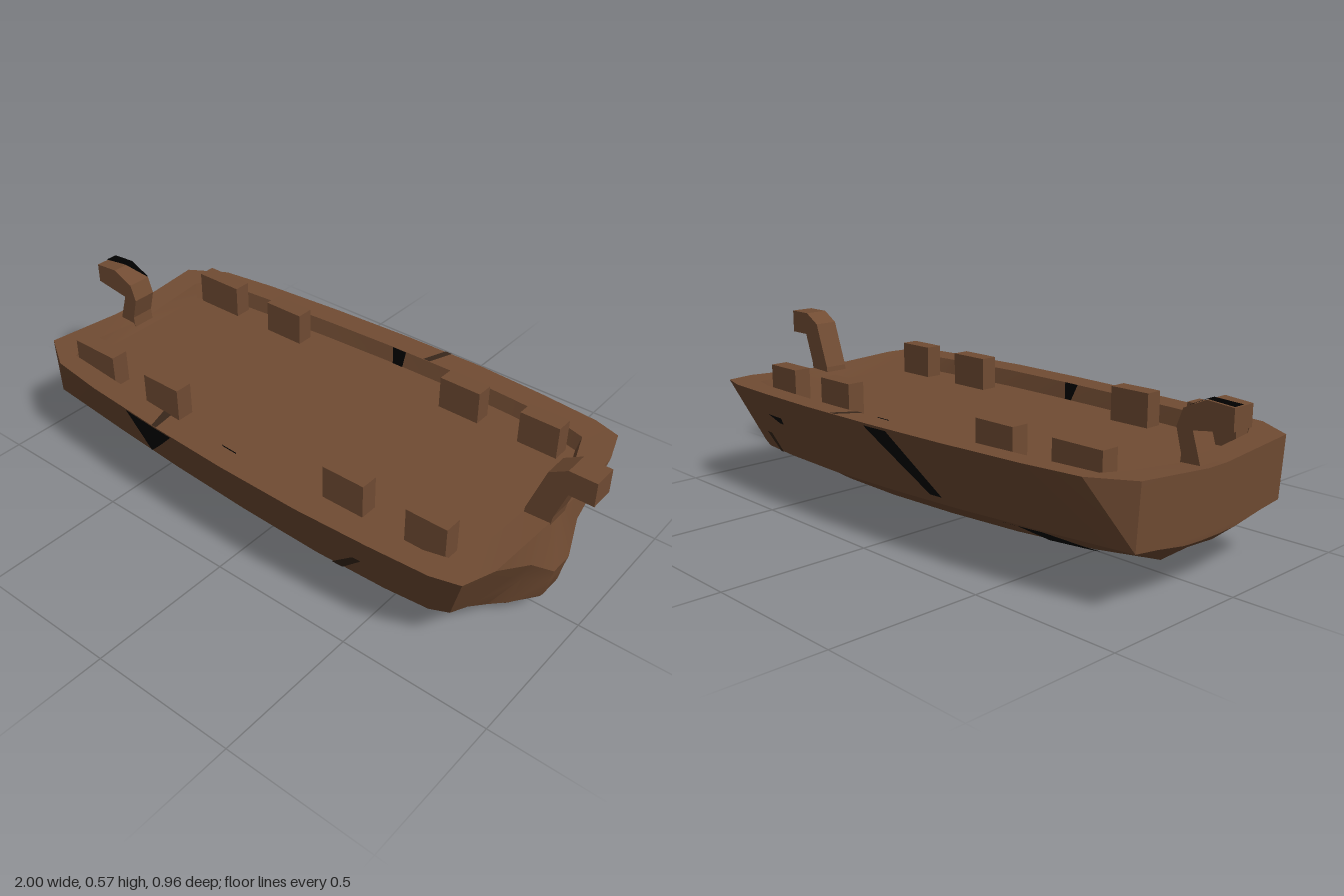
import * as THREE from 'three';
import { toCreasedNormals } from 'three/addons/utils/BufferGeometryUtils.js';

const wood = new THREE.MeshStandardMaterial({ color: 0x714c33 });
wood.name = 'brown wood';
const tar = new THREE.MeshStandardMaterial({ color: 0x000000, side: THREE.DoubleSide });
tar.name = 'black tar';
const stain = new THREE.MeshStandardMaterial({ color: 0x38271b, side: THREE.DoubleSide });
stain.name = 'dark brown stain';

// Rails of the half hull [x, y, z], one point per station, from the blunt end to the stem
const rim = [
  [-0.93, 0.365, 0], [-0.93, 0.365, 0.042], [-0.93, 0.39, 0.33], [-0.8, 0.39, 0.41], [-0.6, 0.39, 0.437],
  [-0.3, 0.39, 0.46], [0, 0.39, 0.475], [0.3, 0.39, 0.48], [0.55, 0.388, 0.47], [0.75, 0.386, 0.456],
  [0.84, 0.385, 0.43], [0.875, 0.38, 0.32], [0.878, 0.366, 0.042], [0.878, 0.366, 0],
];
const chine = [
  [-0.918, 0.18, 0], [-0.918, 0.18, 0.042], [-0.918, 0.19, 0.33], [-0.918, 0.19, 0.33], [-0.6, 0.178, 0.35],
  [-0.3, 0.167, 0.365], [0, 0.16, 0.376], [0.3, 0.156, 0.381], [0.55, 0.158, 0.376], [0.7, 0.161, 0.365],
  [0.76, 0.168, 0.345], [0.883, 0.27, 0.13], [0.915, 0.2, 0.042], [0.915, 0.2, 0],
];
const keel = [
  [-0.916, 0.155, 0], [-0.916, 0.155, 0.042], [-0.916, 0.155, 0.042], [-0.81, 0.085, 0.042], [-0.6, 0.05, 0.042],
  [-0.3, 0.024, 0.042], [0, 0.009, 0.042], [0.3, 0.001, 0.042], [0.55, 0.004, 0.042], [0.7, 0.016, 0.042],
  [0.76, 0.021, 0.055], [0.79, 0.025, 0.085], [0.882, 0.08, 0.042], [0.882, 0.08, 0],
];

const between = (t, ty) => keel.map(([x, y, z], i) => {
  const c = chine[i];
  return [x + (c[0] - x) * t, y + (c[1] - y) * ty, z + (c[2] - z) * t];
});
const onCentre = (rail) => rail.map(([x, y]) => [x, y, 0]);
const garboard = between(0.27, 0.12);
const bilge = between(0.67, 0.66);
// The inner rim keeps tight corners at the blunt end
const innerRim = rim.map(([x, y, z], i) => [x * (i === 3 ? 1 : 0.9), y - 0.004, z * 0.83]);
const deckEdge = innerRim.map(([x, , z]) => [x * 0.985, 0.33, z * 0.97]);

// Skin neighbouring rails with triangles, and mirror them to the other side
function skin(rails, name) {
  const pos = [];
  const triangle = (a, b, c) => {
    const [A, B, C] = [a, b, c].map((p) => new THREE.Vector3(...p));
    if (new THREE.Triangle(A, B, C).getArea() < 1e-7) return;
    pos.push(...a, ...b, ...c);
    for (const [x, y, z] of [a, c, b]) pos.push(x, y, -z);
  };
  for (let r = 0; r < rails.length - 1; r++) {
    for (let s = 0; s < rim.length - 1; s++) {
      const a = rails[r][s], b = rails[r][s + 1], c = rails[r + 1][s + 1], d = rails[r + 1][s];
      triangle(a, b, c);
      triangle(a, c, d);
    }
  }
  const geometry = new THREE.BufferGeometry();
  geometry.setAttribute('position', new THREE.Float32BufferAttribute(pos, 3));
  const mesh = new THREE.Mesh(toCreasedNormals(geometry, 0.45), wood);
  mesh.name = name;
  return mesh;
}

// Point on the skin between two rails at a given x, t from the first rail to the second
function onSkin(railA, railB, x, t) {
  const [a, b] = [railA, railB].map((rail) => {
    const s = Math.max(1, rail.findIndex((p) => p[0] >= x));
    const p = new THREE.Vector3(...rail[s - 1]), q = new THREE.Vector3(...rail[s]);
    return p.lerp(q, (x - p.x) / (q.x - p.x));
  });
  return a.lerp(b, t);
}

// Thin sheet whose points follow a rule of u and v
function sheet(rule, material, name) {
  const geometry = new THREE.PlaneGeometry(1, 1, 8, 8);
  const p = geometry.attributes.position;
  for (let i = 0; i < p.count; i++) p.setXYZ(i, ...rule(p.getX(i) + 0.5, p.getY(i) + 0.5));
  geometry.computeVertexNormals();
  const mesh = new THREE.Mesh(geometry, material);
  mesh.name = name;
  return mesh;
}

// Patch just off the skin: x range "from" at t0 and "to" at t1, shifted outward in y and z
function patch(railA, railB, side, [t0, t1], from, to, [dy, dz], material, name) {
  const mix = THREE.MathUtils.lerp;
  return sheet((u, v) => {
    const x = mix(mix(from[0], to[0], v), mix(from[1], to[1], v), u);
    const point = onSkin(railA, railB, x, mix(t0, t1, v));
    return [point.x, point.y + dy, side * (point.z + dz)];
  }, material, name);
}

// Curved end post cut from a flat outline
function post(points, name) {
  const shape = new THREE.Shape(points.map(([x, y]) => new THREE.Vector2(x, y)));
  const geometry = new THREE.ExtrudeGeometry(shape, { depth: 0.084, bevelEnabled: false });
  geometry.translate(0, 0, -0.042);
  const mesh = new THREE.Mesh(geometry, wood);
  mesh.name = name;
  return mesh;
}

export function createModel() {
  const boat = new THREE.Group();
  boat.name = 'boat';

  boat.add(
    skin([onCentre(keel), keel, garboard, bilge, chine, rim], 'hull'),
    skin([rim, innerRim, deckEdge], 'bulwark'),
    skin([deckEdge, onCentre(deckEdge)], 'deck'),
  );

  // Posts at both ends
  boat.add(
    post([[0.79, 0.33], [0.875, 0.33], [0.885, 0.39], [0.92, 0.49], [1, 0.49], [1, 0.57],
      [0.91, 0.57], [0.85, 0.535], [0.795, 0.38]], 'stemPost'),
    post([[-0.91, 0.33], [-0.83, 0.33], [-0.835, 0.385], [-0.815, 0.46], [-0.835, 0.515],
      [-0.91, 0.55], [-1, 0.543], [-1, 0.477], [-0.87, 0.458], [-0.89, 0.395]], 'sternPost'),
  );

  // Black patches on the sides, the bottom and the inner walls
  const out = [-0.001, 0.003], down = [-0.004, 0.001], inward = [0.001, -0.003], up = [0.002, 0];
  boat.add(
    patch(chine, rim, 1, [0.04, 1], [-0.43, -0.425], [-0.43, -0.215], out, tar, 'frontSidePatch'),
    patch(chine, rim, -1, [0.12, 0.97], [-0.23, -0.18], [-0.08, 0.02], out, tar, 'backSidePatch'),
    patch(chine, rim, -1, [0.55, 0.65], [0.51, 0.53], [0.51, 0.59], out, tar, 'smallSidePatch'),
    patch(bilge, chine, -1, [0, 1], [-0.52, -0.42], [-0.425, -0.42], down, tar, 'bilgePatch'),
    patch(garboard, bilge, -1, [0, 1], [-0.63, -0.43], [-0.52, -0.42], down, tar, 'bottomPatch'),
    patch(deckEdge, innerRim, -1, [0, 1], [0.01, 0.05], [0, 0.055], inward, tar, 'backWallPatch'),
    patch(deckEdge, innerRim, 1, [0, 1], [-0.05, -0.02], [-0.07, -0.01], inward, tar, 'frontWallPatch'),
  );

  // Dark streaks across the rim and sides
  boat.add(
    patch(rim, innerRim, 1, [0, 1], [-0.305, -0.285], [-0.335, -0.3], up, stain, 'frontRimStreak'),
    patch(rim, innerRim, -1, [0, 1], [0.16, 0.185], [0.125, 0.15], up, stain, 'backRimStreak'),
    patch(chine, rim, 1, [0, 0.48], [0.36, 0.4], [0.47, 0.5], out, stain, 'frontSideStreak'),
    patch(chine, rim, -1, [0, 0.3], [0.6, 0.62], [0.63, 0.66], out, stain, 'backSideStreak'),
  );

  // Black strip tapering along the top of the stern post
  const top = [[-1, 0.543, 0.042], [-0.91, 0.55, 0.034], [-0.835, 0.515, 0.003]];
  for (let i = 0; i < 2; i++) {
    boat.add(sheet((u, v) => {
      const [x, y, width] = top[i].map((a, k) => a + (top[i + 1][k] - a) * u);
      return [x, y + 0.003, -0.042 + width * (1 - v)];
    }, tar, 'sternPostStrip'));
  }

  // Blocks standing on the deck along both sides
  for (const [x0, x1] of [[-0.8, -0.62], [-0.47, -0.32], [0.28, 0.43], [0.58, 0.72]]) {
    for (const side of [1, -1]) {
      const block = new THREE.Mesh(new THREE.BoxGeometry(x1 - x0, 0.118, 0.06), wood);
      block.position.set((x0 + x1) / 2, 0.384, side * 0.3);
      block.name = 'deckBlock';
      boat.add(block);
    }
  }
  return boat;
}
